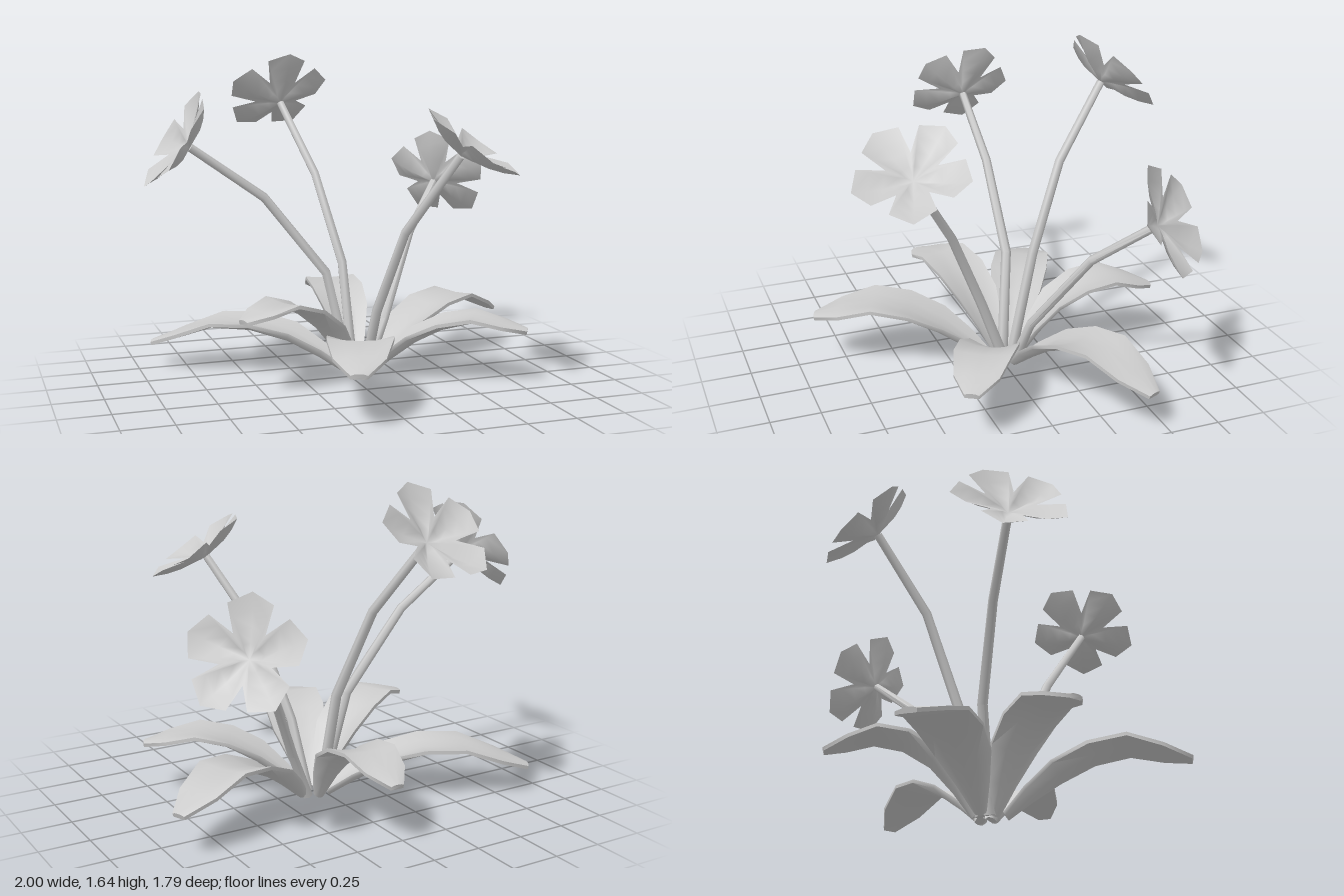
import * as THREE from 'three';
import { toCreasedNormals } from 'three/addons/utils/BufferGeometryUtils.js';

const V = (x, y, z) => new THREE.Vector3(x, y, z);

// Closed skin over equal-length rings of points, with both ends capped
function loft(rings) {
  const n = rings[0].length, last = (rings.length - 1) * n, index = [];
  for (let r = 0; r < rings.length - 1; r++)
    for (let i = 0; i < n; i++) {
      const a = r * n + i, b = r * n + (i + 1) % n;
      index.push(a, b, b + n, a, b + n, a + n);
    }
  for (let i = 1; i < n - 1; i++) index.push(0, i + 1, i, last, last + i, last + i + 1);
  const g = new THREE.BufferGeometry().setFromPoints(rings.flat());
  g.setIndex(index);
  return toCreasedNormals(g, 1.1);
}

// Arching leaf: channelled near the base, flat towards the blunt tip
function leafGeometry(base, tip, [low, peak, end], halfWidth) {
  const at = (f, y) => V(base[0] + (tip[0] - base[0]) * f, y, base[1] + (tip[1] - base[1]) * f);
  const spine = new THREE.CatmullRomCurve3([at(0, 0), at(0.3, low), at(0.65, peak), at(1, end)]);
  const side = V(0, 1, 0).cross(at(1, 0).sub(at(0, 0)).normalize());
  const stations = [[0, 0.2], [0.15, 0.52], [0.32, 0.87], [0.5, 1], [0.68, 0.97], [0.86, 0.75], [1, 0.24]];
  const section = [[1, 0.7], [0.5, 1], [0, 1], [-0.5, 1], [-1, 0.7], [-1, -0.7], [-0.5, -1], [0, -1], [0.5, -1], [1, -0.7]];
  return loft(stations.map(([u, w]) => {
    const p = spine.getPoint(u), up = spine.getTangent(u).cross(side);
    const half = w * halfWidth, lift = half * (0.55 - 0.65 * u);
    return section.map(([s, t]) => p.clone()
      .addScaledVector(side, s * half)
      .addScaledVector(up, s * s * lift + t * 0.013));
  }));
}

// Tapered six-sided stem with bends at the given points
function stemGeometry(points) {
  const n = points.length;
  return loft(points.map((p, i) => {
    const t = points[Math.min(i + 1, n - 1)].clone().sub(points[Math.max(i - 1, 0)]).normalize();
    const s = t.clone().cross(V(0.3, 0, 1)).normalize(), u = t.clone().cross(s);
    const r = 0.028 - 0.007 * i / (n - 1);
    return Array.from({ length: 6 }, (_, k) => p.clone()
      .addScaledVector(s, r * Math.cos(k * Math.PI / 3))
      .addScaledVector(u, r * Math.sin(k * Math.PI / 3)));
  }));
}

// Cup of five joined, keeled petals, opening along +y, first petal along +x
function flowerGeometry() {
  const rays = [[-36, 0.125], [-25, 0.25], [0, 0.285], [25, 0.25]];
  const pts = [V(0, 0, 0)], index = [], rings = 4, n = rays.length * 5;
  for (let k = 1; k <= rings; k++)
    for (let petal = 0; petal < 5; petal++)
      for (const [deg, radius] of rays) {
        const a = THREE.MathUtils.degToRad(deg + petal * 72), f = k / rings, r = radius * f;
        const keel = deg === 0 ? -0.035 * Math.sin(f * 2.6) : 0;
        pts.push(V(r * Math.cos(a), 0.1 * Math.pow(r / 0.28, 0.8) + keel, -r * Math.sin(a)));
      }
  for (let i = 0; i < n; i++) {
    const j = (i + 1) % n;
    index.push(0, 1 + i, 1 + j);
    for (let k = 0; k < rings - 1; k++) {
      const a = 1 + k * n + i, b = 1 + k * n + j;
      index.push(a, a + n, b + n, a, b + n, b);
    }
  }
  const g = new THREE.BufferGeometry().setFromPoints(pts);
  g.setIndex(index);
  g.computeVertexNormals();
  return g;
}

export function createModel() {
  const model = new THREE.Group();
  const material = new THREE.MeshStandardMaterial({ color: 0xcccccc });
  const thin = new THREE.MeshStandardMaterial({ color: 0xcccccc, side: THREE.DoubleSide });
  const add = (name, geometry, mat, parent = model) => {
    const mesh = new THREE.Mesh(geometry, mat);
    mesh.name = name;
    parent.add(mesh);
    return mesh;
  };

  // Rosette of leaves: base xz, tip xz, heights along the spine, half width
  [
    ['backLeaf', [0.06, -0.1], [0.09, -0.83], [0.27, 0.38, 0.3], 0.14],
    ['backRightLeaf', [0, -0.08], [-0.92, -0.54], [0.17, 0.235, 0.12], 0.155],
    ['frontRightLeaf', [0.02, 0], [-0.62, 0.24], [0.27, 0.42, 0.37], 0.145],
    ['frontLeaf', [0.04, 0.06], [-0.27, 0.9], [0.19, 0.32, 0.25], 0.16],
    ['frontLeftLeaf', [0.1, 0.01], [0.79, 0.42], [0.19, 0.31, 0.26], 0.145],
    ['backLeftLeaf', [0.14, -0.05], [0.98, -0.41], [0.2, 0.315, 0.2], 0.145],
  ].forEach(([name, ...shape]) => add(name, leafGeometry(...shape), material));

  // Flowers: stem points, facing direction, direction of the first petal
  const cup = flowerGeometry();
  [
    ['rightFlower', [V(0.01, 0, -0.03), V(-0.1, 0.52, -0.09), V(-0.42, 0.92, -0.1), V(-0.79, 1.18, -0.1)],
      V(-0.85, 0.53, 0), V(0.1, 0.23, -0.1)],
    ['backFlower', [V(0.04, 0, -0.07), V(0.02, 0.55, -0.19), V(-0.07, 1, -0.37), V(-0.18, 1.36, -0.64)],
      V(-0.1, 0.69, -0.72), V(0.03, 0.25, 0.22)],
    ['frontFlower', [V(0.08, 0, -0.01), V(0.1, 0.35, 0.12), V(0.18, 0.77, 0.3), V(0.36, 1.16, 0.54)],
      V(0.5, 0.8, 0.25), V(0.1, 0, 1)],
    ['leftFlower', [V(0.11, 0, -0.06), V(0.22, 0.25, -0.1), V(0.45, 0.67, -0.32), V(0.68, 0.91, -0.54)],
      V(0.6, 0.45, -0.6), V(-0.3, 1, 0.3)],
  ].forEach(([name, points, facing, petal]) => {
    const group = new THREE.Group();
    group.name = name;
    model.add(group);
    add('stem', stemGeometry(points), material, group);
    const y = facing.normalize(), z = petal.clone().cross(y).normalize(), x = y.clone().cross(z);
    const petals = add('petals', cup, thin, group);
    petals.quaternion.setFromRotationMatrix(new THREE.Matrix4().makeBasis(x, y, z));
    petals.position.copy(points[3]);
  });
  return model;
}
